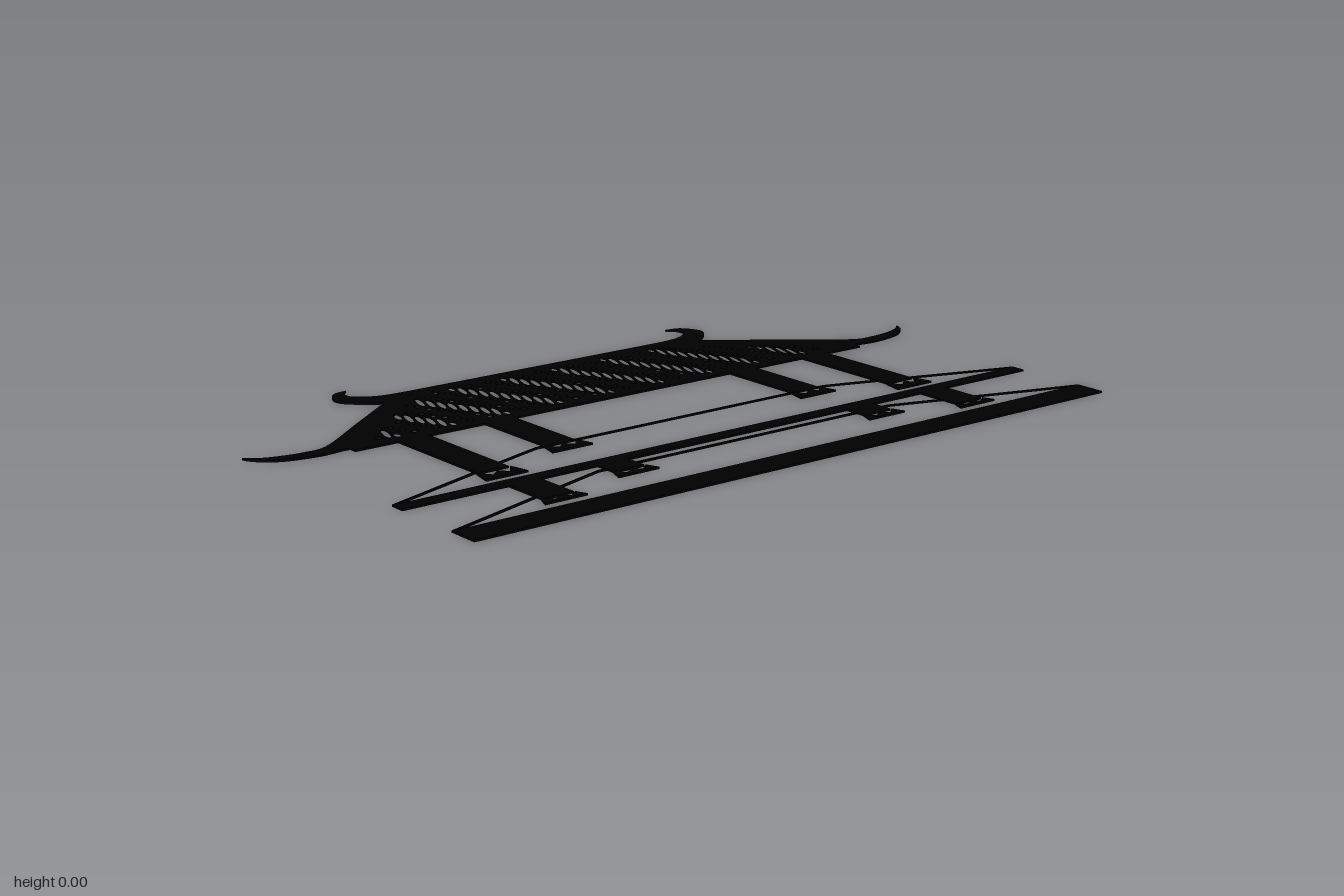
import * as THREE from 'three';

const ink = new THREE.MeshStandardMaterial({ color: 0x000000, side: THREE.DoubleSide });
const THICKNESS = 0.005;

// Points are [x, z] on the ground plane; shapes are drawn with y = -z and laid flat.
const vec = ([x, z]) => new THREE.Vector2(x, -z);
const mirror = (pts) => pts.map(([x, z]) => [-x, z]);

function lay(name, shape, parent) {
  const geometry = new THREE.ExtrudeGeometry(shape, { depth: THICKNESS, bevelEnabled: false });
  const mesh = new THREE.Mesh(geometry.rotateX(-Math.PI / 2), ink);
  mesh.name = name;
  parent.add(mesh);
}

const polygon = (name, pts, parent) => lay(name, new THREE.Shape(pts.map(vec)), parent);

const bar = (name, x0, x1, z0, z1, parent) =>
  polygon(name, [[x0, z0], [x1, z0], [x1, z1], [x0, z1]], parent);

// Outline made of two smooth edges joined end to end
function curved(name, edgeA, edgeB, parent) {
  const smooth = (pts) => new THREE.SplineCurve(pts.map(vec)).getPoints(32);
  lay(name, new THREE.Shape([...smooth(edgeA), ...smooth(edgeB)]), parent);
}

// Thin stroke following a polyline
function stroke(name, pts, width, parent) {
  const v = pts.map(vec), sides = [[], []];
  v.forEach((p, i) => {
    const t = v[Math.min(i + 1, v.length - 1)].clone().sub(v[Math.max(i - 1, 0)]).normalize();
    const n = new THREE.Vector2(-t.y, t.x).multiplyScalar(width / 2);
    sides[0].push(p.clone().add(n));
    sides[1].unshift(p.clone().sub(n));
  });
  lay(name, new THREE.Shape([...sides[0], ...sides[1]]), parent);
}

// Roof field: a trapezoid pierced by slanted bands of leaves with dots along both sides
function roofField(parent) {
  const top = -0.45, bottom = -0.148;
  const halfWidth = (z) => 0.39 + (z - top) * 1.25;
  const shape = new THREE.Shape([
    [-halfWidth(top), top], [halfWidth(top), top],
    [halfWidth(bottom), bottom], [-halfWidth(bottom), bottom],
  ].map(vec));
  const inside = ([x, z]) => z > top + 0.004 && z < bottom - 0.006 && Math.abs(x) < halfWidth(z) - 0.008;

  const along = [0.485, 0.875], across = [0.875, -0.485];
  // Ellipse in band coordinates, shrunk until it fits the field
  function pierce(origin, s, p, a, b, angle, sides) {
    for (const k of [1, 0.75, 0.5, 0.3]) {
      const pts = [];
      for (let i = 0; i < sides; i++) {
        const t = (i / sides) * Math.PI * 2;
        const ex = a * k * Math.cos(t), ey = b * Math.sin(t);
        const u = s + ex * Math.cos(angle) - ey * Math.sin(angle);
        const w = p + ex * Math.sin(angle) + ey * Math.cos(angle);
        pts.push([origin + u * along[0] + w * across[0], -0.3 + u * along[1] + w * across[1]]);
      }
      if (pts.every(inside)) {
        shape.holes.push(new THREE.Path(pts.map(vec)));
        return;
      }
    }
  }
  for (let band = -5; band <= 5; band++) {
    const origin = band * 0.155 + 0.08;
    for (let i = -9; i <= 9; i++) {
      pierce(origin, i * 0.029, 0, 0.039, 0.0092, -0.85, 12);
      for (const side of [-1, 1]) pierce(origin, i * 0.032 + side * 0.008, side * 0.042, 0.0108, 0.0105, 0, 8);
    }
  }
  lay('roofField', shape, parent);
}

export function createModel() {
  const model = new THREE.Group();
  model.name = 'pavilion';
  const roof = new THREE.Group();
  roof.name = 'roof';
  const platforms = new THREE.Group();
  platforms.name = 'platforms';
  model.add(roof, platforms);

  // Roof
  roofField(roof);
  bar('ridge', -0.45, 0.43, -0.478, -0.446, roof);
  bar('eave', -0.768, 0.774, -0.152, -0.125, roof);
  const hipTop = [[-1, -0.228], [-0.975, -0.207], [-0.933, -0.191], [-0.87, -0.182],
    [-0.8, -0.194], [-0.65, -0.308], [-0.49, -0.43]];
  const hipBottom = [[-0.37, -0.45], [-0.55, -0.31], [-0.735, -0.163], [-0.79, -0.147],
    [-0.853, -0.142], [-0.933, -0.158], [-0.98, -0.19], [-1, -0.22]];
  const hornOuter = [[-0.51, -0.575], [-0.553, -0.565], [-0.58, -0.516], [-0.56, -0.473], [-0.495, -0.425], [-0.42, -0.44]];
  const hornInner = [[-0.39, -0.478], [-0.468, -0.484], [-0.522, -0.512], [-0.533, -0.545], [-0.512, -0.573]];
  // The left ridge horn sits slightly nearer the centre
  const mirrorHorn = (pts) => pts.map(([x, z]) => [-x - 0.025, z]);
  curved('rightHip', hipTop, hipBottom, roof);
  curved('leftHip', mirror(hipTop), mirror(hipBottom), roof);
  curved('rightRidgeHorn', hornOuter, hornInner, roof);
  curved('leftRidgeHorn', mirrorHorn(hornOuter), mirrorHorn(hornInner), roof);

  // Platforms: solid front edge and fine outline of the floor behind it
  const floors = [
    { name: 'upperFloor', front: 0.272, edge: 0.309, back: 0.111 },
    { name: 'lowerFloor', front: 0.495, edge: 0.573, back: 0.341 },
  ];
  for (const { name, front, edge, back } of floors) {
    bar(name + 'Edge', -0.926, 0.93, front, edge, platforms);
    const half = [[-0.926, front], [-0.5, back + 0.02], [-0.435, back]];
    stroke(name + 'Outline', [...half, ...mirror(half).reverse()], 0.005, platforms);
  }

  // Columns with toothed feet: [x, top, foot top, foot bottom]
  const columns = [
    [0.613, -0.13, 0.192, 0.245], [0.372, -0.13, 0.11, 0.161],
    [0.613, 0.3, 0.432, 0.462], [0.372, 0.3, 0.37, 0.404],
  ];
  for (const [cx, z0, z1, z2] of columns) {
    for (const x of [-cx + 0.002, cx + 0.002]) {
      const column = new THREE.Group();
      column.name = 'column';
      bar('shaft', x - 0.042, x + 0.042, z0, z1, column);
      const valley = z1 + (z2 - z1) * 0.6, peak = z1 + (z2 - z1) * 0.25;
      polygon('foot', [[x - 0.057, z2], [x + 0.057, z2], [x + 0.045, z1], [x + 0.022, valley],
        [x, peak], [x - 0.022, valley], [x - 0.045, z1]], column);
      model.add(column);
    }
  }
  return model;
}
